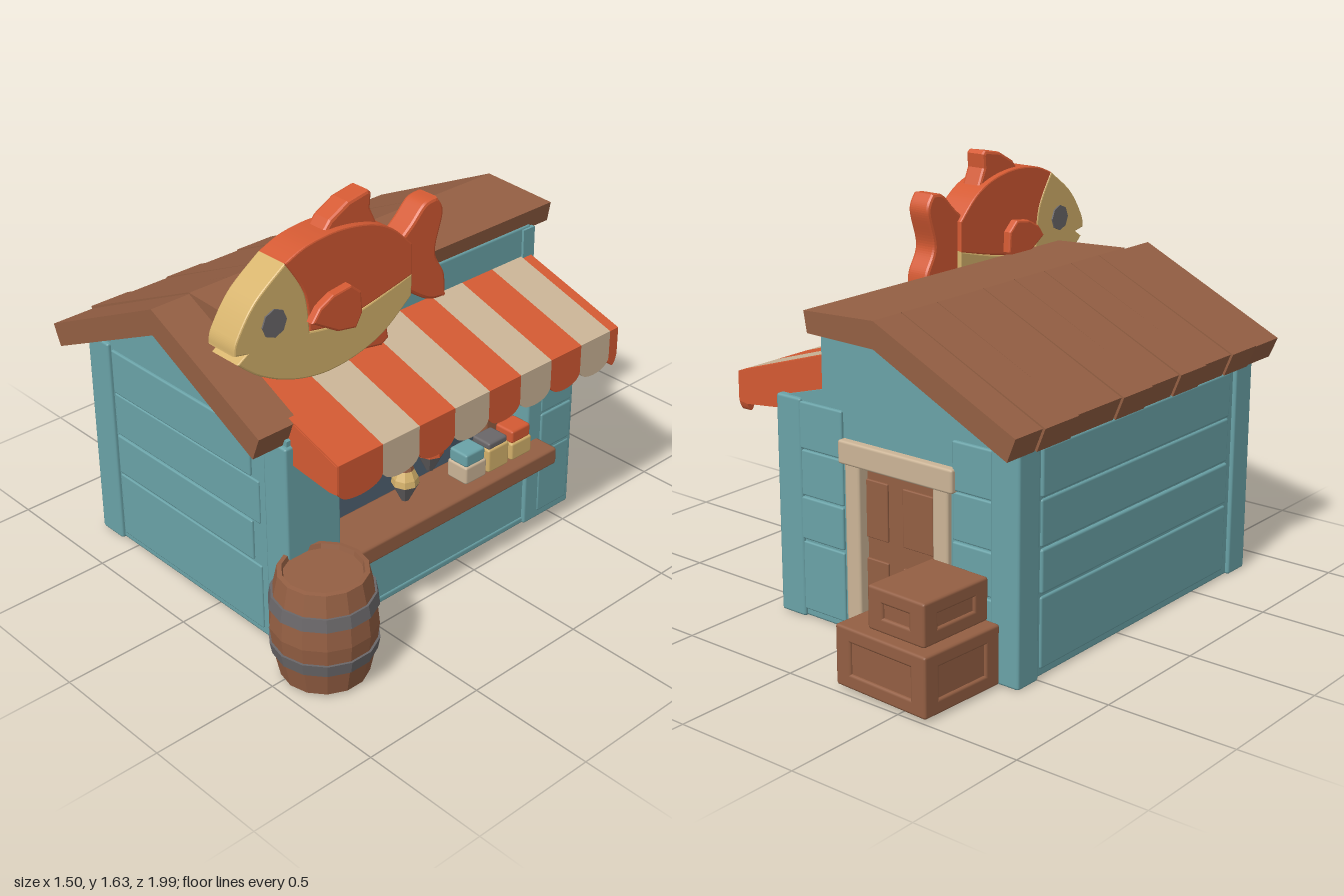
import * as THREE from 'three';
import { RoundedBoxGeometry } from 'three/addons/geometries/RoundedBoxGeometry.js';

const mat = (name, color) => Object.assign(new THREE.MeshStandardMaterial({ color }), { name });

export function createModel() {
  const root = new THREE.Group();
  root.name = 'marketHut';
  const teal = mat('tealPaint', 0x6aa3a8), wood = mat('wood', 0x945f43), orange = mat('orange', 0xd45a33);
  const cream = mat('cream', 0xccb597), yellow = mat('yellow', 0xd6b36c), gray = mat('gray', 0x6a6769);
  const navy = mat('darkInterior', 0x36434f);

  const add = (name, geo, m, parent = root) => {
    const mesh = new THREE.Mesh(geo, m);
    mesh.name = name;
    parent.add(mesh);
    return mesh;
  };
  // Softly edged box given by its extents
  const box = (name, m, x0, x1, y0, y1, z0, z1, parent = root, r = 0.01) => {
    const w = x1 - x0, h = y1 - y0, d = z1 - z0;
    const mesh = add(name, new RoundedBoxGeometry(w, h, d, 1, Math.min(r, w / 3, h / 3, d / 3)), m, parent);
    mesh.position.set((x0 + x1) / 2, (y0 + y1) / 2, (z0 + z1) / 2);
    return mesh;
  };
  const shapeOf = pts => new THREE.Shape(pts.map(p => new THREE.Vector2(p[0], p[1])));
  // Outline in x,y extruded from z0 to z1
  const prism = (name, m, pts, z0, z1, parent = root, hole) => {
    const s = shapeOf(pts);
    if (hole) s.holes.push(new THREE.Path(hole.map(p => new THREE.Vector2(p[0], p[1]))));
    const mesh = add(name, new THREE.ExtrudeGeometry(s, { depth: z1 - z0, bevelEnabled: false }), m, parent);
    mesh.position.z = z0;
    return mesh;
  };
  // Outline in z,y extruded across x, centred on xc
  const slab = (name, m, shape, xc, t, parent = root, bevel = 0) => {
    const geo = new THREE.ExtrudeGeometry(shape, {
      depth: t - 2 * bevel, bevelEnabled: bevel > 0, bevelThickness: bevel, bevelSize: bevel, bevelOffset: -bevel, bevelSegments: 2, curveSegments: 10,
    });
    geo.translate(0, 0, -(t - 2 * bevel) / 2).rotateY(-Math.PI / 2);
    const mesh = add(name, geo, m, parent);
    mesh.position.x = xc;
    return mesh;
  };
  const faceted = geo => {
    const g = geo.toNonIndexed();
    g.computeVertexNormals();
    return g;
  };
  const lathe = (name, m, pts, sides, parent) =>
    add(name, faceted(new THREE.LatheGeometry(pts.map(p => new THREE.Vector2(p[0], p[1])), sides)), m, parent);

  // Walls
  prism('frontWall', teal, [[-0.69, 0.01], [0.41, 0.01], [0.41, 0.88], [0.28, 0.94], [0.28, 0.81], [0.17, 0.81],
    [0.17, 0.99], [-0.13, 1.14], [-0.69, 0.88]], 0.77, 0.83);
  prism('backWall', teal, [[-0.69, 0.01], [0.41, 0.01], [0.41, 0.84], [0.2, 0.9], [0.2, 1.14], [-0.13, 1.14],
    [-0.69, 0.88]], -0.6, -0.54, root, [[-0.34, 0.02], [-0.34, 0.66], [0.02, 0.66], [0.02, 0.02]]);
  box('leftWall', teal, -0.69, -0.64, 0.01, 0.88, -0.6, 0.83);
  box('counterWall', teal, 0.36, 0.405, 0.01, 0.32, -0.55, 0.8);
  box('upperWall', teal, 0.12, 0.19, 0.81, 1.15, -0.59, 0.8);
  box('floor', teal, -0.69, 0.41, 0, 0.03, -0.6, 0.83);

  // Corner posts and raised wall boards
  for (const [z0, z1] of [[0.73, 0.845], [-0.615, -0.5]]) box('leftCornerPost', teal, -0.705, -0.58, 0, 0.86, z0, z1);
  box('rightFrontPost', teal, 0.3, 0.42, 0, 0.86, 0.6, 0.845);
  box('rightBackPost', teal, 0.3, 0.42, 0, 0.85, -0.615, -0.36);
  [0.03, 0.31, 0.48, 0.66].forEach((y, i) => {
    const y1 = [0.3, 0.475, 0.655, 0.84][i], out = 0.004 + 0.003 * (i % 2);
    box('frontBoard', teal, -0.57, 0.26 - 0.04 * (i % 2), y, y1, 0.82, 0.833 + out);
    box('leftBoard', teal, -0.694 - out, -0.67, y, y1, -0.48, 0.7);
    box('backBoard', teal, 0.1, 0.33, y, y1, -0.605 - out, -0.59);
    box('backBoard', teal, -0.6, -0.41, y, y1, -0.605 - out, -0.59);
    box('postBoard', teal, 0.4, 0.42 + out, y, y1, -0.6, -0.43);
  });

  // Dark lining of the stall
  box('liningLeft', navy, -0.635, -0.625, 0.03, 0.86, -0.53, 0.76);
  box('liningFront', navy, -0.63, 0.3, 0.03, 0.86, 0.755, 0.765);
  box('liningBack', navy, -0.63, 0.3, 0.03, 0.86, -0.53, -0.52);
  box('liningCeiling', navy, -0.63, 0.19, 0.85, 0.86, -0.53, 0.76);
  box('liningFloor', navy, -0.63, 0.36, 0.03, 0.04, -0.53, 0.76);

  // Roof: boarded long slope, short flat side and front rake
  const zs = [-0.69, -0.54, -0.35, -0.09, 0.09, 0.27, 0.44, 0.62, 0.79];
  for (let i = 0; i < 8; i++) {
    const e = -0.745 - 0.008 * (i % 2);
    prism('roofBoard', wood, [[-0.13, 1.225], [e, 0.932], [e + 0.035, 0.845], [-0.13, 1.125]], zs[i], zs[i + 1] - 0.004);
  }
  prism('flatRoof', wood, [[-0.13, 1.225], [-0.13, 1.125], [0.18, 1.13], [0.195, 1.21]], -0.69, 0.795);
  prism('frontRake', wood, [[-0.13, 1.22], [-0.745, 0.925], [-0.71, 0.845], [-0.13, 1.12], [0.39, 0.86], [0.425, 0.95]], 0.785, 0.96);

  // Striped awning with scalloped edge
  const awning = new THREE.Group();
  awning.name = 'awning';
  root.add(awning);
  const cuts = [0.81, 0.61, 0.44, 0.27, 0.1, -0.06, -0.22, -0.38, -0.54, -0.585];
  for (let i = 0; i < 9; i++) {
    const m = i % 2 ? cream : orange, z1 = cuts[i], z0 = cuts[i + 1], mid = (z0 + z1) / 2;
    prism('awningStripe', m, [[0.185, 1.03], [0.185, 0.985], [0.63, 0.855], [0.645, 0.885]], z0, z1, awning);
    const s = new THREE.Shape();
    s.moveTo(z0, 0.885);
    s.lineTo(z0, 0.775);
    s.quadraticCurveTo(z0 + 0.01, 0.735, mid, 0.733);
    s.quadraticCurveTo(z1 - 0.01, 0.735, z1, 0.775);
    s.lineTo(z1, 0.885);
    slab('awningScallop', m, s, 0.625, 0.04, awning);
  }
  const side = [[0.2, 1.02], [0.2, 0.81], [0.6, 0.765], [0.64, 0.77], [0.64, 0.88]];
  prism('awningEnd', orange, side, 0.79, 0.812, awning);
  prism('awningEnd', orange, side, -0.587, -0.565, awning);
  prism('awningUnderside', navy, [[0.19, 0.982], [0.19, 0.974], [0.605, 0.852], [0.605, 0.86]], -0.56, 0.785, awning);

  // Counter, inner post and goods
  box('counter', wood, 0.3, 0.52, 0.305, 0.375, -0.42, 0.66);
  box('innerPost', wood, 0.2, 0.29, 0.36, 0.65, -0.35, -0.27);
  box('innerPostCap', wood, 0.19, 0.3, 0.65, 0.73, -0.36, -0.26);
  [[-0.03, cream, teal], [-0.15, yellow, gray], [-0.275, yellow, orange]].forEach(([z, a, b], i) => {
    const h = i === 1 ? 0.1 : 0.075;
    box('goodsTub', a, 0.37, 0.47, 0.375, 0.375 + h, z - 0.055, z + 0.055);
    box('goodsTop', b, 0.375, 0.465, 0.37 + h, 0.5, z - 0.05, z + 0.05);
  });

  // Hanging lures
  [[0.54, 0.405, yellow], [0.46, 0.205, orange]].forEach(([x, z, m]) => {
    const lure = new THREE.Group();
    lure.name = 'hangingLure';
    lure.position.set(x, 0, z);
    root.add(lure);
    lathe('lureString', gray, [[0.009, 0.67], [0.009, 0.9]], 6, lure);
    lathe('lureCap', wood, [[0.032, 0.65], [0.022, 0.685], [0, 0.69]], 8, lure);
    lathe('lureBody', m, [[0.05, 0.595], [0.047, 0.62], [0.03, 0.655]], 8, lure);
    lathe('lureTip', gray, [[0, 0.515], [0.015, 0.525], [0.05, 0.595]], 8, lure);
  });

  // Barrel
  const barrel = new THREE.Group();
  barrel.name = 'barrel';
  barrel.position.set(0.55, 0, 0.8);
  root.add(barrel);
  lathe('barrelStaves', wood, [[0, 0.02], [0.14, 0.02], [0.145, 0.008], [0.16, 0.012], [0.185, 0.13], [0.195, 0.22],
    [0.185, 0.32], [0.162, 0.428], [0.145, 0.43], [0.14, 0.412], [0, 0.412]], 14, barrel);
  lathe('barrelBand', gray, [[0.176, 0.11], [0.188, 0.11], [0.197, 0.158], [0.185, 0.158]], 14, barrel);
  lathe('barrelBand', gray, [[0.185, 0.3], [0.196, 0.3], [0.187, 0.348], [0.176, 0.348]], 14, barrel);

  // Back door with frame
  box('door', wood, -0.35, 0.03, 0.02, 0.67, -0.575, -0.545);
  for (const x of [-0.3, -0.09]) for (const y of [0.08, 0.38]) box('doorPanel', wood, x, x + 0.14, y, y + 0.22, -0.583, -0.57);
  box('doorSill', wood, -0.34, 0.02, 0.005, 0.03, -0.63, -0.55);
  for (const x of [-0.4, 0.01]) box('doorJamb', cream, x, x + 0.07, 0.02, 0.66, -0.622, -0.55);
  box('doorLintel', cream, -0.425, 0.105, 0.65, 0.74, -0.63, -0.55);

  // Stacked crates
  const crate = (x, y, z, w, h, d, ry) => {
    const g = new THREE.Group();
    g.name = 'crate';
    g.position.set(x, y, z);
    g.rotation.y = ry;
    root.add(g);
    box('crateBody', wood, -w / 2 + 0.01, w / 2 - 0.01, 0, h, -d / 2 + 0.01, d / 2 - 0.01, g);
    for (const s of [0, 1]) box('crateRail', wood, -w / 2, w / 2, s * (h - 0.055), s * (h - 0.055) + 0.055, -d / 2, d / 2, g);
    for (const sx of [-1, 1]) for (const sz of [-1, 1]) {
      const cx = sx * (w / 2 - 0.035), cz = sz * (d / 2 - 0.035);
      box('cratePost', wood, cx - 0.035, cx + 0.035, 0.01, h - 0.01, cz - 0.035, cz + 0.035, g);
    }
  };
  crate(-0.415, 0.01, -0.8, 0.42, 0.225, 0.37, -0.05);
  crate(-0.455, 0.24, -0.79, 0.26, 0.16, 0.32, -0.04);

  // Fish sign
  const fish = new THREE.Group();
  fish.name = 'fishSign';
  root.add(fish);
  const fx = 0.277;
  const curveThrough = (s, pts) => s.splineThru(pts.map(p => new THREE.Vector2(p[0], p[1])));
  const back = new THREE.Shape();
  back.moveTo(0.76, 1.495);
  curveThrough(back, [[0.66, 1.53], [0.52, 1.54], [0.38, 1.515], [0.28, 1.465], [0.19, 1.38]]);
  back.lineTo(0.19, 1.26);
  curveThrough(back, [[0.4, 1.215], [0.55, 1.195], [0.66, 1.21]]);
  curveThrough(back, [[0.68, 1.36], [0.76, 1.495]]);
  slab('fishBack', orange, back, fx, 0.136, fish, 0.006);
  const belly = new THREE.Shape();
  belly.moveTo(0.76, 1.495);
  curveThrough(belly, [[0.68, 1.36], [0.66, 1.21]]);
  curveThrough(belly, [[0.55, 1.195], [0.4, 1.215], [0.19, 1.265]]);
  belly.lineTo(0.19, 1.18);
  curveThrough(belly, [[0.32, 1.085], [0.45, 1.04], [0.6, 1.028], [0.75, 1.06], [0.88, 1.125], [0.97, 1.2]]);
  belly.lineTo(0.93, 1.225);
  belly.lineTo(0.983, 1.235);
  curveThrough(belly, [[0.97, 1.29], [0.89, 1.4], [0.76, 1.495]]);
  slab('fishHeadAndBelly', yellow, belly, fx, 0.136, fish, 0.006);
  const tail = new THREE.Shape();
  tail.moveTo(0.22, 1.4);
  curveThrough(tail, [[0.17, 1.44], [0.11, 1.495], [0.05, 1.505]]);
  curveThrough(tail, [[0.02, 1.44], [0.055, 1.3], [0.01, 1.2], [0.005, 1.105]]);
  curveThrough(tail, [[0.09, 1.12], [0.21, 1.2]]);
  slab('tailFin', orange, tail, fx, 0.1, fish, 0.012);
  slab('dorsalFin', orange, shapeOf([[0.59, 1.51], [0.54, 1.57], [0.46, 1.612], [0.37, 1.628], [0.355, 1.615], [0.36, 1.56], [0.32, 1.47]]), fx, 0.088, fish, 0.012);
  slab('ventralFin', orange, shapeOf([[0.48, 1.07], [0.42, 1.035], [0.31, 1.015], [0.275, 1.035], [0.29, 1.12], [0.4, 1.1]]), fx, 0.088, fish, 0.01);
  const pectoral = shapeOf([[0.675, 1.255], [0.64, 1.3], [0.58, 1.33], [0.5, 1.34], [0.455, 1.3], [0.45, 1.22], [0.48, 1.17], [0.56, 1.185]]);
  for (const s of [-1, 1]) {
    slab('pectoralFin', orange, pectoral, fx + s * 0.08, 0.04, fish, 0.008);
    const eye = add('eye', faceted(new THREE.CylinderGeometry(0.052, 0.052, 0.008, 8)), gray, fish);
    eye.rotation.z = Math.PI / 2;
    eye.position.set(fx + s * 0.07, 1.3, 0.815);
  }
  box('signBracket', wood, 0.17, 0.25, 1.14, 1.2, 0.45, 0.55);
  return root;
}
